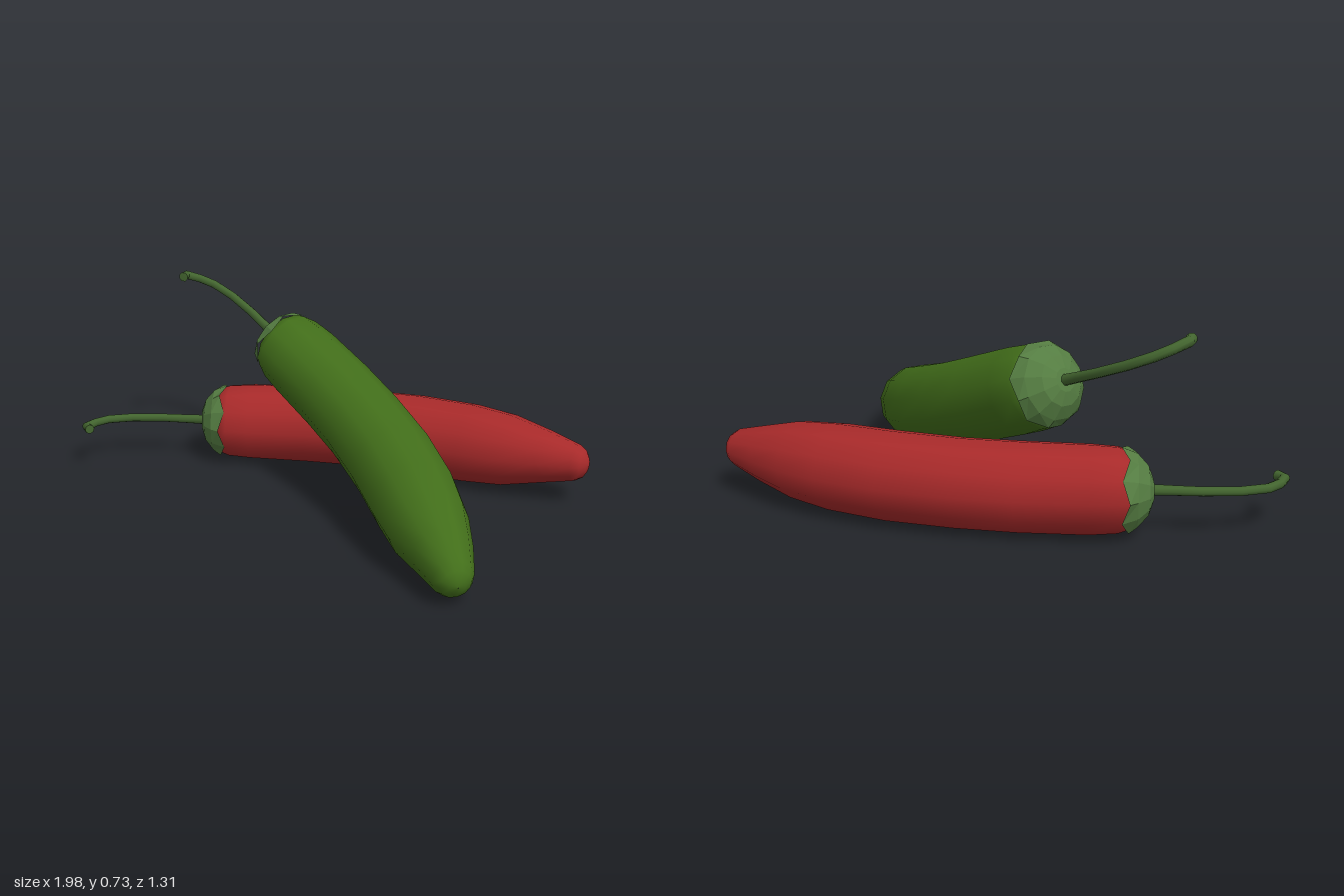
import * as THREE from 'three';
import { toCreasedNormals } from 'three/addons/utils/BufferGeometryUtils.js';

// Sweeps a round section along rings [x, z, radius] lying in the plane y = 0.
// wave shifts every other corner of the last ring to make a ragged rim.
function sweep(rings, sides, wave = 0) {
  const pos = [], index = [];
  rings.forEach(([x, z, r], i) => {
    const a = rings[Math.max(i - 1, 0)], b = rings[Math.min(i + 1, rings.length - 1)];
    const t = new THREE.Vector2(b[0] - a[0], b[1] - a[1]).normalize();
    for (let j = 0; j < sides; j++) {
      const ang = (j / sides) * Math.PI * 2;
      const c = Math.cos(ang) * r, s = Math.sin(ang) * r;
      const shift = i === rings.length - 1 ? wave * (j % 2 ? 1 : -1) : 0;
      pos.push(x + t.y * c + t.x * shift, s, z - t.x * c + t.y * shift);
      if (i < rings.length - 1) {
        const k = (j + 1) % sides, p = i * sides, q = p + sides;
        index.push(p + j, p + k, q + j, p + k, q + k, q + j);
      }
    }
  });
  const geo = new THREE.BufferGeometry();
  geo.setAttribute('position', new THREE.Float32BufferAttribute(pos, 3));
  geo.setIndex(index);
  geo.computeVertexNormals();
  return geo;
}

// Rings measured from the shoulder of the pepper, which points along +x
const BODY = [
  [-0.05, 0.01, 0.002], [-0.045, 0.008, 0.09], [-0.02, -0.002, 0.13], [0.02, -0.012, 0.146],
  [0.11, -0.035, 0.153], [0.34, -0.08, 0.155], [0.54, -0.104, 0.155], [0.78, -0.105, 0.157],
  [1.0, -0.077, 0.154], [1.16, -0.046, 0.139], [1.3, -0.021, 0.104], [1.425, 0.01, 0.07],
  [1.452, 0.015, 0.053], [1.467, 0.018, 0.028], [1.471, 0.018, 0.001],
];
const CAP = [
  [-0.092, 0.02, 0.001], [-0.09, 0.02, 0.04], [-0.075, 0.014, 0.085],
  [-0.04, 0.005, 0.126], [0.0, -0.006, 0.147],
];
const STEM = [
  [-0.07, 0.016, 0.02], [-0.16, 0.034, 0.018], [-0.25, 0.053, 0.017], [-0.37, 0.094, 0.017],
  [-0.452, 0.148, 0.017], [-0.483, 0.205, 0.017], [-0.492, 0.262, 0.018], [-0.463, 0.288, 0.019],
];

function createPepper(name, color) {
  const group = new THREE.Group();
  group.name = name;
  const add = (part, geo, col, flatShading = false) => {
    const mesh = new THREE.Mesh(geo, new THREE.MeshStandardMaterial({ color: col, flatShading }));
    mesh.name = part;
    group.add(mesh);
  };
  add('body', sweep(BODY, 12), color);
  add('cap', sweep(CAP, 12, 0.012), 0x557d42, true);
  // Stem runs from its hooked end to the cap, with flat ends
  const stem = [...STEM].reverse();
  const [ex, ez] = stem[0], e = 0.0005;
  stem.unshift([ex + e, ez + e, 0.0001]);
  add('stem', toCreasedNormals(sweep(stem, 8), 1), 0x43652f);
  return group;
}

export function createModel() {
  const model = new THREE.Group();
  model.name = 'chiliPeppers';

  // Red pepper lies flat on the ground
  const red = createPepper('redPepper', 0xa82a2a);
  red.position.set(-0.48, 0.158, -0.395);
  model.add(red);

  // Green pepper leans across the red one
  const green = createPepper('greenPepper', 0x426e1a);
  green.position.set(-0.215, 0.498, -0.4);
  green.rotation.set(0, -0.768, -0.414, 'ZYX');
  model.add(green);

  return model;
}
